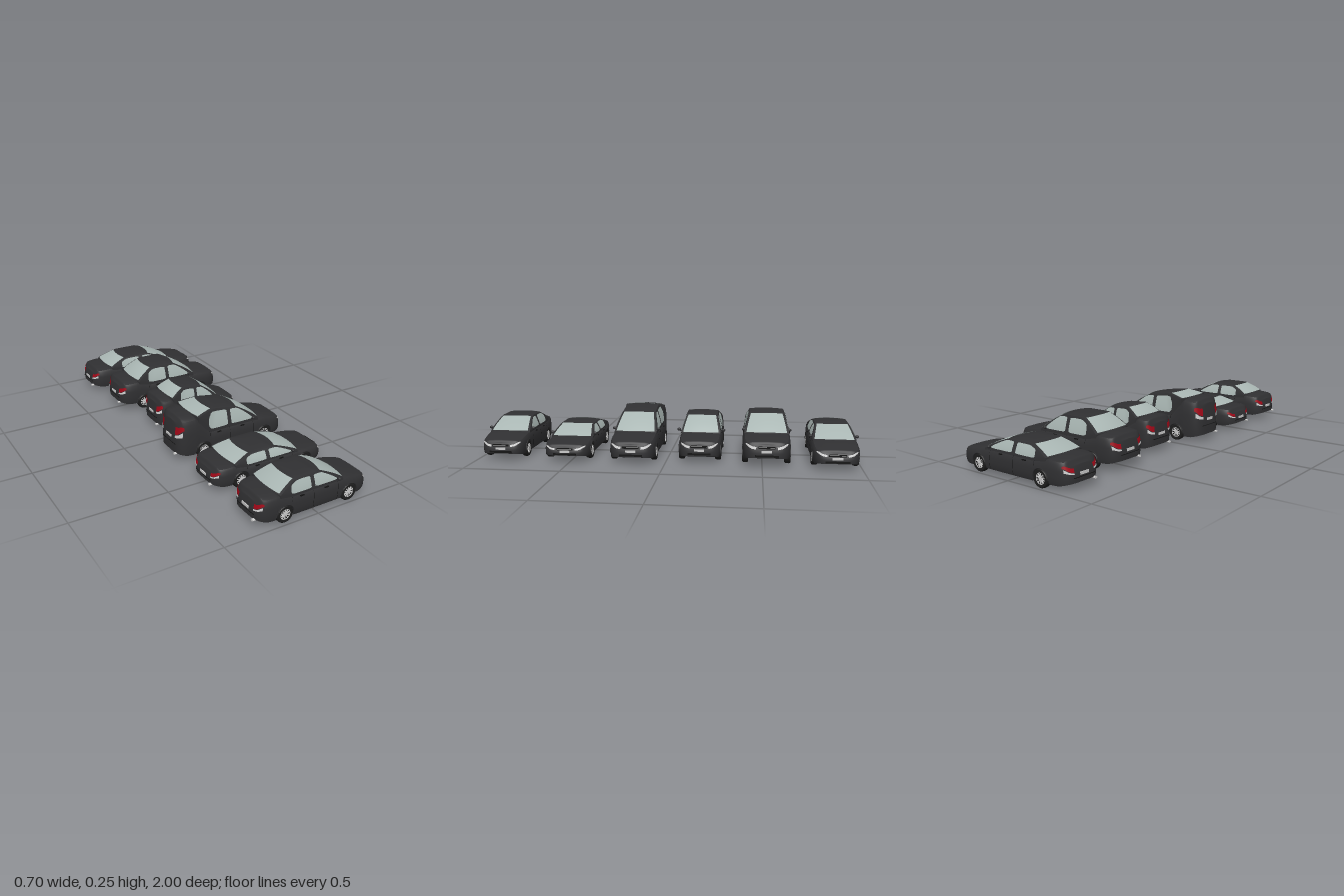
import * as THREE from 'three';
import { toCreasedNormals } from 'three/addons/utils/BufferGeometryUtils.js';

const mat = (color) => new THREE.MeshStandardMaterial({ color, side: THREE.DoubleSide });
const PAINT = mat(0x303032), GLASS = mat(0xa9b6b3), RUBBER = mat(0x1e1e1e), SEAM = mat(0x121212);
const SILVER = mat(0xcccccc), RED = mat(0xa00818);
const lerp = THREE.MathUtils.lerp;

// One row per car: position, half length, half width, and the heights of its outline
const CARS = [
  { z: -0.87, L: 0.347, w: 0.121, sill: 0.026, belt: 0.125, hood: 0.102, deck: 0.140, roofR: 0.190, roofF: 0.190 },
  { z: -0.522, L: 0.322, w: 0.126, sill: 0.040, belt: 0.150, hood: 0.130, deck: 0.172, roofR: 0.243, roofF: 0.243 },
  { z: -0.174, L: 0.250, w: 0.113, sill: 0.026, belt: 0.137, hood: 0.110, deck: 0.180, roofR: 0.232, roofF: 0.225 },
  { z: 0.174, L: 0.322, w: 0.123, sill: 0.026, belt: 0.142, hood: 0.113, deck: 0.230, roofR: 0.256, roofF: 0.237 },
  { z: 0.522, L: 0.322, w: 0.124, sill: 0.026, belt: 0.110, hood: 0.092, deck: 0.126, roofR: 0.165, roofF: 0.165 },
  { z: 0.87, L: 0.312, w: 0.118, sill: 0.026, belt: 0.130, hood: 0.104, deck: 0.146, roofR: 0.200, roofF: 0.200 },
];
const WHEEL_R = 0.044, ARCH_R = 0.048, AXLES = [-0.56, 0.6];

// Side outline of a body section: [share of height, share of half width]
const SIDE = [[0, 0.95], [0.12, 0.985], [0.35, 1], [0.6, 1], [0.85, 0.97], [0.95, 0.91], [1, 0.75], [1.02, 0.4], [1.03, 0]];

// Interpolates sorted [position, value] pairs with a soft blend
function along(points, s) {
  let i = 0;
  while (i < points.length - 2 && s > points[i + 1][0]) i++;
  const [a, ya] = points[i], [b, yb] = points[i + 1];
  const f = THREE.MathUtils.clamp((s - a) / (b - a), 0, 1);
  return lerp(ya, yb, 0.5 * (f + f * f * (3 - 2 * f)));
}

// Creases at a larger scale, so that close vertices stay distinct
function crease(geometry, angle) {
  return toCreasedNormals(geometry.scale(100, 100, 100), angle).scale(0.01, 0.01, 0.01);
}

// Surface from rows of points
function sheet(rows) {
  const n = rows[0].length, index = [];
  for (let i = 0; i < rows.length - 1; i++)
    for (let j = 0; j < n - 1; j++) {
      const a = i * n + j, b = a + n;
      index.push(a, b, a + 1, b, b + 1, a + 1);
    }
  const g = new THREE.BufferGeometry();
  g.setAttribute('position', new THREE.Float32BufferAttribute(rows.flat(2), 3));
  g.setIndex(index);
  return crease(g, 0.6);
}
function patch(fn, nu = 8, nv = 6) {
  const rows = [];
  for (let i = 0; i <= nu; i++) {
    rows.push([]);
    for (let j = 0; j <= nv; j++) rows[i].push(fn(i / nu, j / nv));
  }
  return sheet(rows);
}

function add(group, name, geometry, material, x = 0, y = 0, z = 0) {
  const m = new THREE.Mesh(geometry, material);
  m.name = name;
  m.position.set(x, y, z);
  group.add(m);
  return m;
}

// Wheel with its axle along z, outer face towards +z
function makeWheel() {
  const wheel = new THREE.Group();
  const r = WHEEL_R;
  const profile = [[0.6, -0.015], [0.9, -0.015], [0.98, -0.011], [1, -0.005], [1, 0.005], [0.98, 0.011], [0.9, 0.015], [0.62, 0.014], [0.6, 0.008]];
  const tyre = new THREE.LatheGeometry(profile.map(([a, b]) => new THREE.Vector2(a * r, b)), 28).rotateX(Math.PI / 2);
  add(wheel, 'tyre', crease(tyre, 0.7), RUBBER);
  add(wheel, 'wheelBacking', new THREE.CylinderGeometry(r * 0.62, r * 0.62, 0.016, 24).rotateX(Math.PI / 2), SEAM);
  add(wheel, 'rim', new THREE.TorusGeometry(r * 0.59, 0.0016, 5, 28), SILVER, 0, 0, 0.012);
  add(wheel, 'hub', new THREE.CylinderGeometry(0.006, 0.007, 0.006, 16).rotateX(Math.PI / 2), SILVER, 0, 0, 0.011);
  for (let i = 0; i < 10; i++) {
    const spoke = new THREE.BoxGeometry(0.0048, r * 0.58, 0.004).translate(0, r * 0.3, 0).rotateZ(i * Math.PI / 5);
    add(wheel, 'spoke', spoke, SILVER, 0, 0, 0.0105);
  }
  return wheel;
}

function makeCar(c) {
  const car = new THREE.Group();
  const { L, w, sill, belt, hood, deck } = c;
  const topLine = [[-1, deck - 0.028], [-0.93, deck - 0.004], [-0.7, deck], [-0.42, belt], [0.4, belt], [0.53, belt - 0.003], [0.95, hood], [1, hood - 0.014]];
  const top = (s) => along(topLine, s);
  const bottom = (s) => sill + 0.012 * Math.max(0, (Math.abs(s) - 0.85) / 0.15);
  const plan = (s) => Math.pow(Math.max(0, 1 - Math.abs(s) ** 10), 0.25) * (1 - 0.04 * s * s);
  const arch = (s) => Math.max(...AXLES.map((a) => {
    const d = (s - a) * L;
    return Math.abs(d) < ARCH_R ? WHEEL_R + Math.sqrt(ARCH_R ** 2 - d * d) : 0;
  }));
  const bodyX = (s, v) => s * L * (1 - 0.035 * Math.max(0, v - 0.5) * 2 * THREE.MathUtils.smoothstep(Math.abs(s), 0.8, 1));

  // Body: cross-sections from tail to nose, with the wheel wells cut in
  const stations = [];
  for (let i = 0; i <= 72; i++) stations.push(Math.sin((i / 72 - 0.5) * Math.PI));
  for (const a of AXLES)
    for (const k of [-1, 1]) for (const d of [1.0001, 0.999, 0.97, 0.9]) stations.push(a + k * d * ARCH_R / L);
  stations.sort((a, b) => a - b);
  add(car, 'body', sheet(stations.map((s) => {
    const b = bottom(s), h = top(s) - b, p = plan(s) * w, edge = Math.max(b, arch(s));
    const half = [[bodyX(s, 0), b, 0], [bodyX(s, 0), b, 0.7 * p], [bodyX(s, 0), edge, 0.7 * p]];
    for (const [v, f] of SIDE) half.push([bodyX(s, v), Math.max(b + v * h, edge), f * p]);
    return [...half, ...half.slice(0, -1).reverse().map(([x, y, z]) => [x, y, -z])];
  })), PAINT);

  // Patch lying just proud of the body side; low and high are [start, end] shares of height
  const onBody = (name, material, s0, s1, low, high, side) => add(car, name, patch((i, j) => {
    const s = lerp(s0, s1, i), v = lerp(lerp(...low, i), lerp(...high, i), j);
    const z = along(SIDE, v) * plan(s) * w * 1.005 + 0.0008;
    return [bodyX(s, v) * 1.006, bottom(s) + v * (top(s) - bottom(s)), side * z];
  }), material);

  // Cabin: level t runs from the belt line (0) to the roof edge (1)
  const rearX = (t) => lerp(-0.7, -0.4, t) - 0.02 * Math.sin(Math.PI * t);
  const frontX = (t) => lerp(0.53, 0.1, t) + 0.03 * Math.sin(Math.PI * t);
  const cabinW = (t) => w * (0.93 - 0.2 * t ** 1.3);
  const cabinY = (u, t) => lerp(top(lerp(-0.7, 0.53, u)), lerp(c.roofR, c.roofF, u) - 0.007, t);
  const cabin = (u, t, k) => { // u: rear to front, k: -1..1 across
    const bow = 0.05 * k * k * (2 * u - 1);
    return [(lerp(rearX(t), frontX(t), u) - bow) * L, cabinY(u, t) + 0.003 * (1 - k * k), cabinW(t) * k];
  };
  const loop = [];
  for (let i = 0; i < 20; i++) loop.push([i / 20, 1]);
  for (let i = 0; i < 12; i++) loop.push([1, 1 - i / 6]);
  for (let i = 0; i < 20; i++) loop.push([1 - i / 20, -1]);
  for (let i = 0; i <= 12; i++) loop.push([0, -1 + i / 6]);
  const rows = [loop.map(([u, k]) => {
    const [x, y, z] = cabin(u, 0, k);
    return [x, y - 0.03, z];
  })];
  for (let i = 0; i <= 10; i++) rows.push(loop.map(([u, k]) => cabin(u, i / 10, k)));
  for (const f of [0.94, 0.8, 0.5, 0]) // crowned roof
    rows.push(loop.map(([u, k]) => {
      const [x, , z] = cabin(u, 1, k);
      return [lerp(-0.15 * L, x, f), cabinY(lerp(0.5, u, f), 1) + 0.007 * (1 - f ** 4), z * f];
    }));
  add(car, 'cabin', sheet(rows), PAINT);

  // Windscreen and rear window
  for (const [name, u, t0, gap] of [['windscreen', 1, 0.03, 0.002], ['rearWindow', 0, 0.06, -0.002]])
    add(car, name, patch((i, j) => {
      const [x, y, z] = cabin(u, lerp(t0, 0.95, j), lerp(-0.9, 0.9, i));
      return [x + gap, y + 0.0018, z];
    }, 10, 10), GLASS);

  for (const side of [1, -1]) {
    // Side windows, their outer ends leaning with the pillars
    const sideWindow = (name, from, to) => add(car, name, patch((i, j) => {
      const round = 0.05 * Math.abs(2 * i - 1) ** 6;
      const t = lerp(0.07 + round, 0.9 - round, j);
      const s = lerp(from(t), to(t), i);
      const u = (s - rearX(t)) / (frontX(t) - rearX(t));
      return [s * L, cabinY(u, t), side * (cabinW(t) + 0.0022)];
    }, 14, 8), GLASS);
    sideWindow('rearSideWindow', (t) => Math.max(-0.46, rearX(t) + 0.07) + 0.03 * t * t, () => -0.105);
    sideWindow('frontSideWindow', () => -0.04, (t) => frontX(t) - 0.13 + 0.08 * t);

    // Lights
    onBody('headlight', SILVER, 0.9, 0.996, [0.84, 0.66], [0.9, 0.86], side);
    onBody('tailLight', RED, -0.9, -0.993, [0.72, 0.62], [0.8, 0.87], side);
    onBody('reverseLight', SILVER, -0.92, -0.993, [0.52, 0.52], [0.66, 0.6], side);

    // Door gaps and handles
    for (const [s, low] of [[-0.45, 0.72], [-0.072, 0.06], [0.37, 0.06]])
      onBody('doorGap', SEAM, s - 0.003, s + 0.003, [low, low], [0.95, 0.95], side);
    for (const s of [-0.28, 0.16])
      add(car, 'doorHandle', new THREE.BoxGeometry(0.022, 0.005, 0.005), SEAM, s * L, lerp(sill, belt, 0.86), side * w * 0.975);

    // Mirror on a short stalk
    const mirror = add(car, 'mirror', new THREE.SphereGeometry(1, 14, 10), PAINT, 0.37 * L, belt + 0.01, side * 0.119);
    mirror.scale.set(0.007, 0.008, 0.011);
    add(car, 'mirrorStalk', new THREE.BoxGeometry(0.006, 0.004, 0.02), PAINT, 0.37 * L, belt + 0.004, side * 0.107);

    // Wheels and arch lips
    for (const a of AXLES) {
      const wheel = makeWheel();
      wheel.name = a > 0 ? 'frontWheel' : 'rearWheel';
      wheel.position.set(a * L, WHEEL_R, side * (w - 0.017));
      if (side < 0) wheel.rotation.y = Math.PI;
      car.add(wheel);
      add(car, 'archLip', new THREE.TorusGeometry(ARCH_R, 0.0025, 5, 24, Math.PI), PAINT, a * L, WHEEL_R, side * w * 0.975);
    }
  }

  // Nose: grille, intake, plate
  const noseY = (v) => lerp(bottom(1), top(1), v);
  add(car, 'grille', new THREE.BoxGeometry(0.006, 0.011, 0.085), SEAM, L * 0.988, noseY(0.82), 0);
  add(car, 'grilleBar', new THREE.BoxGeometry(0.006, 0.002, 0.08), SILVER, L * 0.99, noseY(0.84), 0);
  add(car, 'lowerIntake', new THREE.BoxGeometry(0.006, 0.01, 0.12), SEAM, L * 0.993, noseY(0.15), 0);
  add(car, 'frontPlate', new THREE.BoxGeometry(0.004, 0.012, 0.052), SILVER, L, noseY(0.5), 0);

  // Tail: plate, bumper groove, exhaust
  const tailY = (v) => lerp(bottom(-1), top(-1), v);
  add(car, 'rearPlate', new THREE.BoxGeometry(0.004, 0.013, 0.052), SILVER, -L, tailY(0.5), 0);
  add(car, 'bumperGroove', new THREE.BoxGeometry(0.004, 0.003, 0.13), SEAM, -L * 0.995, tailY(0.3), 0);
  const pipe = add(car, 'exhaust', new THREE.CylinderGeometry(0.006, 0.006, 0.03, 14).rotateZ(Math.PI / 2), SILVER, -L + 0.008, sill + 0.009, 0.065);
  pipe.scale.z = 1.4;
  return car;
}

export function createModel() {
  const model = new THREE.Group();
  model.name = 'carRow';
  CARS.forEach((c, i) => {
    const car = makeCar(c);
    car.name = 'car' + (i + 1);
    car.position.z = c.z;
    model.add(car);
  });
  return model;
}
